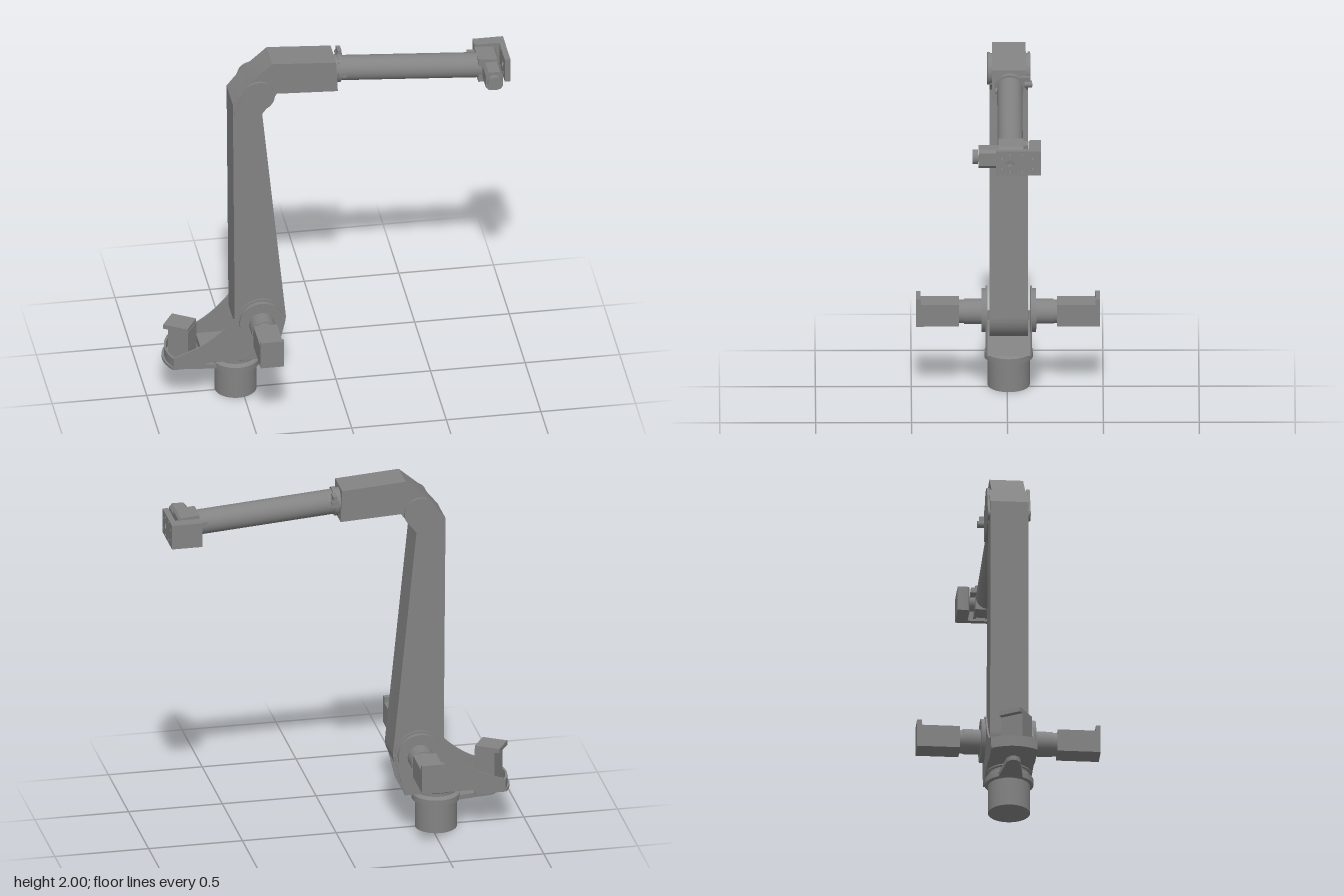
import * as THREE from 'three';
import { toCreasedNormals } from 'three/addons/utils/BufferGeometryUtils.js';

const MAT = new THREE.MeshStandardMaterial({ color: 0x838383 });

export function createModel() {
  const root = new THREE.Group();
  const robot = new THREE.Group();
  robot.name = 'robotArm';
  robot.position.z = -0.008;
  root.add(robot);

  const add = (name, geo, x = 0, y = 0, z = 0, parent = robot) => {
    const m = new THREE.Mesh(geo, MAT);
    m.name = name;
    m.position.set(x, y, z);
    parent.add(m);
    return m;
  };
  const box = (w, h, d) => new THREE.BoxGeometry(w, h, d);
  const cylY = (r, h, n = 40) => new THREE.CylinderGeometry(r, r, h, n);
  const cylZ = (r, h, n = 40) => cylY(r, h, n).rotateX(Math.PI / 2);
  const cylX = (r, h, n = 40) => cylY(r, h, n).rotateZ(-Math.PI / 2);
  const poly = (pts) => new THREE.Shape(pts.map(([x, y]) => new THREE.Vector2(x, y)));
  // side profile in x/y, given thickness centred on z = 0
  const slab = (shape, depth) => toCreasedNormals(
    new THREE.ExtrudeGeometry(shape, { depth, bevelEnabled: false, curveSegments: 24 }).translate(0, 0, -depth / 2), 0.5);
  // outline in x/z, extruded upward from y = 0
  const floorSlab = (shape, h) => slab(shape, h).rotateX(-Math.PI / 2).translate(0, h / 2, 0);

  // Pedestal, flange and turning neck
  const pedestal = [[0, 0], [0.11, 0], [0.11, 0.155], [0.127, 0.16], [0.127, 0.192], [0.118, 0.2],
    [0.107, 0.205], [0.107, 0.222], [0.115, 0.228], [0.115, 0.24], [0, 0.24]].map((p) => new THREE.Vector2(...p));
  add('pedestal', toCreasedNormals(new THREE.LatheGeometry(pedestal, 48), 0.5), -0.53);

  // Cable tongue behind the flange
  const tongue = new THREE.Shape();
  tongue.moveTo(-0.53, -0.08);
  tongue.lineTo(-0.53, 0.08);
  tongue.lineTo(-0.82, 0.035);
  tongue.quadraticCurveTo(-0.88, 0, -0.82, -0.035);
  add('cableTongue', floorSlab(tongue, 0.025), 0, 0.16);

  // Turret: two thin cheeks and a floor with a ramp at the front
  const S = { x: -0.415, y: 0.465 };
  const cheek = new THREE.Shape();
  cheek.moveTo(-0.70, 0.235);
  cheek.lineTo(-0.34, 0.235);
  cheek.lineTo(-0.288, 0.44);
  cheek.absarc(S.x, S.y, 0.128, -0.2, 2.6, false);
  cheek.lineTo(-0.56, 0.48);
  cheek.quadraticCurveTo(-0.65, 0.375, -0.75, 0.328);
  cheek.lineTo(-0.875, 0.278);
  cheek.lineTo(-0.875, 0.21);
  cheek.lineTo(-0.72, 0.21);
  for (const s of [-1, 1]) add('turretCheek', slab(cheek, 0.009), 0, 0, s * 0.1165);
  add('turretFloor', slab(poly([[-0.72, 0.235], [-0.34, 0.235], [-0.4, 0.34], [-0.48, 0.34],
    [-0.56, 0.28], [-0.72, 0.28]]), 0.225));

  // Rounded tail tray: floor plate and raised rim
  const tailShape = (x, bulge, w) => {
    const t = new THREE.Shape();
    t.moveTo(-0.715, -w);
    t.lineTo(-0.715, w);
    t.lineTo(x, w);
    t.quadraticCurveTo(x - bulge, 0, x, -w);
    return t;
  };
  const rim = tailShape(-0.875, 0.06, 0.12);
  rim.holes.push(tailShape(-0.865, 0.06, 0.11));
  add('tailRim', floorSlab(rim, 0.06), 0, 0.215);
  add('tailFloor', floorSlab(tailShape(-0.88, 0.075, 0.121), 0.015), 0, 0.209);

  // Upright motor standing in the tail tray
  const baseMotor = new THREE.Group();
  baseMotor.name = 'baseMotor';
  baseMotor.position.set(-0.823, 0, 0.012);
  baseMotor.rotation.y = -0.55;
  robot.add(baseMotor);
  add('baseMotorBody', box(0.112, 0.2, 0.122), 0.011, 0.315, 0, baseMotor);
  add('baseMotorCap', box(0.136, 0.025, 0.122), -0.004, 0.422, 0, baseMotor);

  // Shoulder flanges and motors, one on each side
  for (const s of [-1, 1]) {
    add('shoulderFlange', cylZ(0.115, 0.022, 48), S.x, S.y, s * 0.132);
    add('shoulderHub', cylZ(0.066, 0.095), S.x, 0.458, s * 0.187);
    add('shoulderHubNeck', cylZ(0.061, 0.03), S.x, 0.457, s * 0.245);
    add('shoulderMotor', box(0.124, 0.122, 0.21), S.x, 0.457, s * 0.36 + 0.004);
    add('shoulderMotorCap', box(0.124, 0.152, 0.025), S.x, 0.472, s * 0.4675 + 0.004);
  }

  // Lower arm, rounded at the shoulder
  const lower = new THREE.Shape();
  lower.moveTo(-0.56, 1.78);
  lower.lineTo(-0.55, 0.465);
  lower.absarc(S.x, S.y, 0.135, Math.PI, Math.PI * 2.03, false);
  lower.lineTo(-0.405, 1.71);
  lower.lineTo(-0.375, 1.75);
  lower.absarc(-0.425, 1.82, 0.08, -0.9, 2.4, false);
  add('lowerArm', slab(lower, 0.2));

  // Tear-shaped elbow covers
  const cover = new THREE.Shape();
  cover.absarc(-0.425, 1.822, 0.085, -0.95, 2.45, false);
  cover.absarc(-0.525, 1.72, 0.03, 2.5, 5.25, false);
  for (const s of [-1, 1]) add('elbowCover', slab(cover, 0.014), 0, 0, s * 0.105);

  // Upper arm housing
  add('upperArm', slab(poly([[-0.35, 2], [-0.012, 1.976], [-0.003, 1.802], [-0.325, 1.818], [-0.405, 1.71],
    [-0.5, 1.74], [-0.53, 1.815], [-0.46, 1.905]]), 0.176));

  // Forearm tube, tilted slightly down; its origin is the collar
  const forearm = new THREE.Group();
  forearm.name = 'forearm';
  forearm.position.set(0, 1.89, -0.004);
  forearm.rotation.z = -0.075;
  robot.add(forearm);
  add('forearmCollarCore', cylX(0.07, 0.05), -0.005, 0, 0, forearm);
  add('forearmCollar', cylX(0.076, 0.018), 0.014, 0, 0, forearm);
  add('forearmTube', cylX(0.066, 0.755), 0.39, 0, 0, forearm);
  add('cableClamp', box(0.022, 0.05, 0.055), 0.025, 0.045, -0.08, forearm);
  add('cableFitting', cylZ(0.018, 0.04, 20), 0.028, 0.03, -0.097, forearm);
  add('sideScrew', cylZ(0.016, 0.02, 20), 0.035, -0.005, 0.064, forearm);
  add('wristClamp', box(0.055, 0.03, 0.035), 0.735, 0.02, -0.077, forearm);

  // Wrist block with cross motor
  const W = { x: 0.812, y: 1.827 };
  add('wristBlock', slab(poly([[0.745, 1.765], [0.85, 1.765], [0.856, 1.78], [0.856, 1.88], [0.845, 1.893],
    [0.745, 1.901]]), 0.13), 0, 0, -0.008);
  const octagon = poly([[-0.045, -0.035], [-0.03, -0.053], [0.03, -0.053], [0.045, -0.035],
    [0.045, 0.035], [0.03, 0.053], [-0.03, 0.053], [-0.045, 0.035]]);
  add('wristMotor', slab(octagon, 0.105), W.x, W.y, 0.11);
  add('wristMotorCap', cylZ(0.038, 0.03), W.x, W.y, 0.178);
  add('wristPivot', cylZ(0.04, 0.06), W.x, W.y, -0.095);

  // Angled tool bracket: side block and drilled face plate
  const side = new THREE.Shape();
  side.moveTo(0.75, 0.165);
  side.lineTo(0.75, 0.123);
  side.quadraticCurveTo(0.75, 0.102, 0.772, 0.102);
  side.lineTo(0.882, 0.102);
  side.lineTo(0.882, 0.165);
  add('toolBracketSide', floorSlab(side, 0.134), 0, 1.761);
  const plate = poly([[-0.118, -0.067], [0.118, -0.067], [0.118, 0.067], [-0.118, 0.067]]);
  const hole = (x, y, r) => plate.holes.push(new THREE.Path().absarc(x, y, r, 0, Math.PI * 2, true));
  hole(-0.045, 0, 0.018);
  for (const s of [-1, 1]) {
    for (const x of [-0.045, 0.02]) hole(x, s * 0.05, 0.008);
    for (const x of [-0.087, 0.075]) hole(x, s * 0.028, 0.008);
  }
  add('toolPlate', slab(plate, 0.03).rotateY(Math.PI / 2), 0.897, 1.828, -0.047);

  return root;
}
